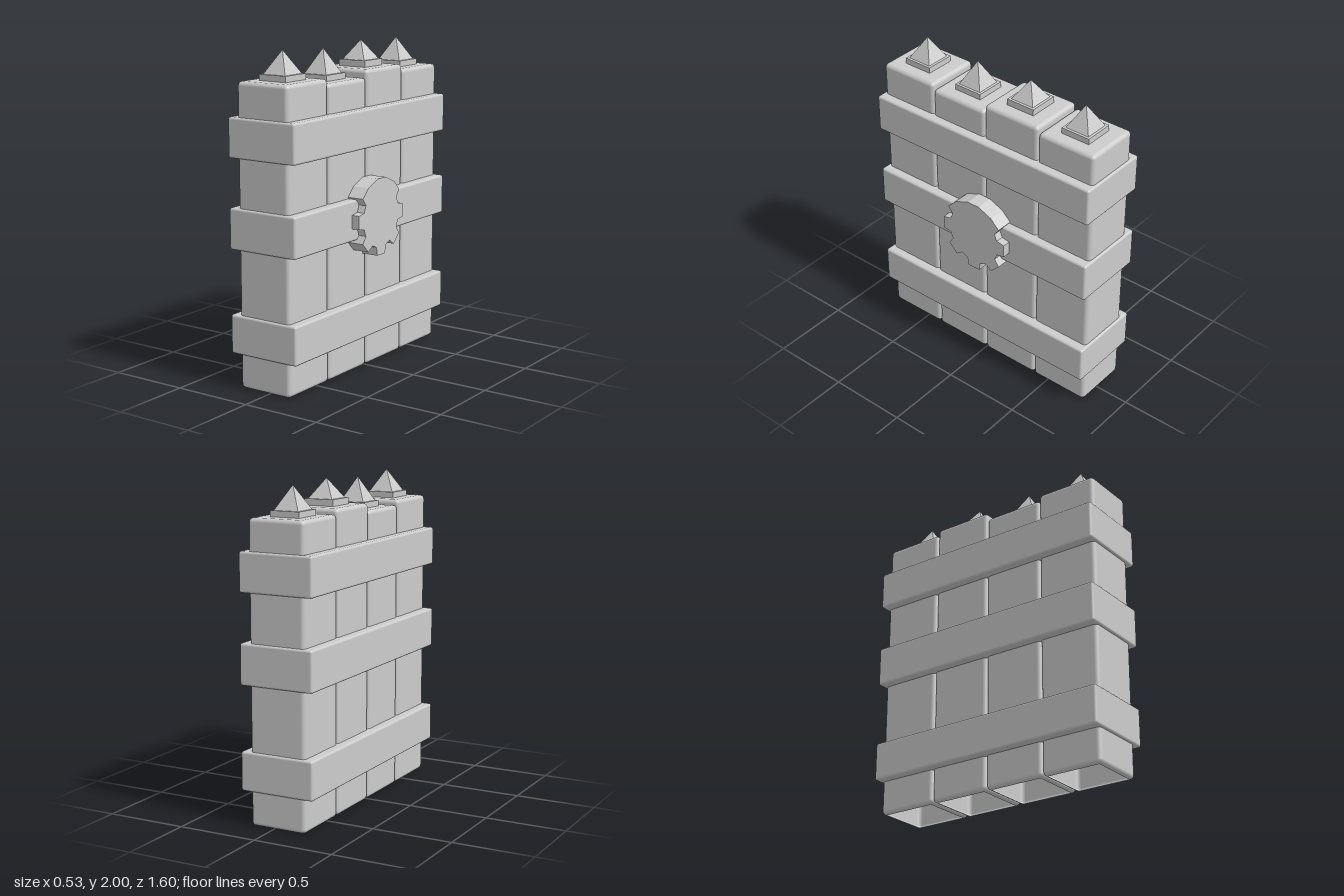
import * as THREE from 'three';
import { RoundedBoxGeometry } from 'three/addons/geometries/RoundedBoxGeometry.js';

const CX = -0.028; // shared centre line of posts, rails and spikes

// Rounded box without its flat underside
function openBottomBox(w, h, d, r) {
  const src = new RoundedBoxGeometry(w, h, d, 2, r);
  const pos = src.attributes.position, nor = src.attributes.normal;
  const p = [], n = [];
  for (let i = 0; i < pos.count; i += 3) {
    if ([0, 1, 2].every(k => pos.getY(i + k) < -h / 2 + 1e-4)) continue;
    for (let k = i; k < i + 3; k++) {
      p.push(pos.getX(k), pos.getY(k), pos.getZ(k));
      n.push(nor.getX(k), nor.getY(k), nor.getZ(k));
    }
  }
  const geo = new THREE.BufferGeometry();
  geo.setAttribute('position', new THREE.Float32BufferAttribute(p, 3));
  geo.setAttribute('normal', new THREE.Float32BufferAttribute(n, 3));
  return geo;
}

// Cog outline with eight teeth; the two gaps beside the top tooth are filled
function cogShape() {
  const pts = [];
  const add = (deg, r) => {
    const a = THREE.MathUtils.degToRad(deg);
    pts.push(new THREE.Vector2(r * Math.cos(a), r * Math.sin(a)));
  };
  for (let i = 0; i < 8; i++) {
    const a = i * 45;
    add(a - 10, 0.24);
    add(a + 10, 0.24);
    if (i === 1 || i === 2) continue;
    add(a + 15.5, 0.19);
    add(a + 29.5, 0.19);
  }
  return new THREE.Shape(pts);
}

export function createModel() {
  const group = new THREE.Group();
  const grey = new THREE.MeshStandardMaterial({ color: 0xcccccc, side: THREE.DoubleSide });
  grey.name = 'plain grey';

  const add = (name, geo, x, y, z) => {
    const mesh = new THREE.Mesh(geo, grey);
    mesh.name = name;
    mesh.position.set(x, y, z);
    group.add(mesh);
    return mesh;
  };

  // Four posts of uneven height, each with a plinth and a pyramid spike:
  // z, post top, plinth top, spike tip
  const posts = [
    [0.59, 1.827, 1.863, 2.0],
    [0.197, 1.795, 1.831, 1.98],
    [-0.197, 1.842, 1.882, 2.0],
    [-0.59, 1.811, 1.847, 1.988],
  ];
  posts.forEach(([z, top, plinth, tip], i) => {
    const base = 0.005;
    add(`post${i + 1}`, openBottomBox(0.362, top - base, 0.39, 0.025), CX, (top + base) / 2, z);
    const ph = plinth - top + 0.01;
    add(`spikeBase${i + 1}`, new THREE.BoxGeometry(0.19, ph, 0.19), CX, plinth - ph / 2, z);
    const h = tip - plinth;
    const cone = new THREE.ConeGeometry(0.079 * Math.SQRT2, h, 4, 1).rotateY(Math.PI / 4).toNonIndexed();
    cone.computeVertexNormals();
    add(`spike${i + 1}`, cone, CX, plinth + h / 2, z);
  });

  // Three rails wrapped around the posts: bottom, top
  [[0.213, 0.45], [0.842, 1.09], [1.382, 1.62]].forEach(([lo, hi], i) => {
    add(`rail${i + 1}`, new RoundedBoxGeometry(0.476, hi - lo, 1.6, 2, 0.014), CX, (lo + hi) / 2, 0);
  });

  // Cog emblem on the +x face
  const cog = new THREE.ExtrudeGeometry(cogShape(), { depth: 0.11, bevelEnabled: false });
  cog.rotateY(Math.PI / 2);
  add('cog', cog, 0.151, 0.962, 0);

  return group;
}
